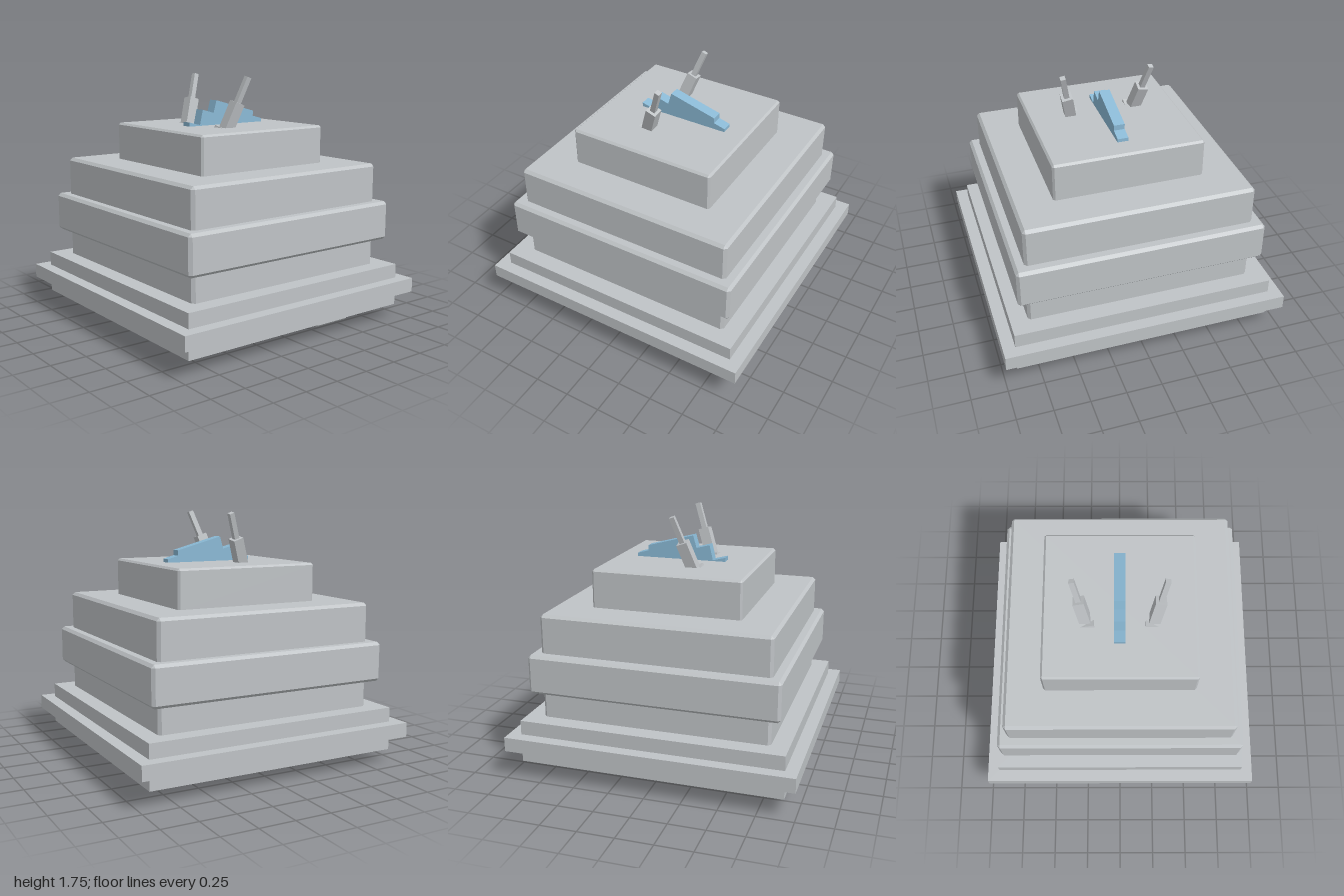
import * as THREE from 'three';
import { ConvexGeometry } from 'three/addons/geometries/ConvexGeometry.js';

const grey = new THREE.MeshStandardMaterial({ color: 0xbfc3c6 });
grey.name = 'stoneGrey';
const blue = new THREE.MeshStandardMaterial({ color: 0x8ab9d5 });
blue.name = 'paleBlue';

export function createModel() {
  const model = new THREE.Group();
  model.name = 'steppedTower';

  const add = (parent, name, geometry, material, x = 0, y = 0, z = 0) => {
    const mesh = new THREE.Mesh(geometry, material);
    mesh.name = name;
    mesh.position.set(x, y, z);
    parent.add(mesh);
    return mesh;
  };

  // Box with every edge cut off at 45 degrees
  const chamferedBox = (w, h, d, c) => {
    const points = [];
    for (const sx of [-1, 1]) for (const sy of [-1, 1]) for (const sz of [-1, 1])
      for (let face = 0; face < 3; face++) {
        const inset = (axis) => (axis === face ? 0 : c);
        points.push(new THREE.Vector3(
          sx * (w / 2 - inset(0)), sy * (h / 2 - inset(1)), sz * (d / 2 - inset(2))));
      }
    return new ConvexGeometry(points);
  };

  // Square tiers: name, half width, bottom, top, chamfer
  const tiers = [
    ['footPlate', 0.61, 0, 0.1, 0],
    ['lowerPlinth', 0.915, 0.1, 0.2, 0],
    ['middlePlinth', 1, 0.2, 0.3, 0],
    ['upperPlinth', 0.915, 0.3, 0.4, 0],
    ['mainBlock', 0.795, 0.38, 1.13, 0.02],
    ['wideBand', 0.865, 0.585, 0.86, 0.02],
    ['topBlock', 0.525, 1.11, 1.396, 0.014],
  ];
  for (const [name, half, y0, y1, c] of tiers) {
    const size = [half * 2, y1 - y0, half * 2];
    add(model, name, c ? chamferedBox(...size, c) : new THREE.BoxGeometry(...size),
      grey, 0, (y0 + y1) / 2, 0);
  }

  // Stepped pods under the plinth
  for (const [x, z] of [[-0.375, 0.675], [0.675, -0.375], [-0.525, -0.575]]) {
    const pod = new THREE.Group();
    pod.name = 'undersidePod';
    pod.position.set(x, 0, z);
    add(pod, 'podRim', chamferedBox(0.37, 0.05, 0.37, 0.012), grey, 0, 0.095, 0);
    add(pod, 'podFace', chamferedBox(0.3, 0.06, 0.3, 0.012), grey, 0, 0.07, 0);
    model.add(pod);
  }

  // Stepped fin on the roof, profile given as (z, y)
  const profile = [
    [0.28, 1.39], [0.28, 1.425], [0.19, 1.402], [0.165, 1.508], [0.07, 1.482], [0.045, 1.57],
    [-0.29, 1.48], [-0.29, 1.442], [-0.37, 1.42], [-0.37, 1.39],
  ];
  const finShape = new THREE.Shape(profile.map(([z, y]) => new THREE.Vector2(z, y)));
  const finGeometry = new THREE.ExtrudeGeometry(finShape, { depth: 0.076, bevelEnabled: false });
  finGeometry.translate(0, 0, -0.038).rotateY(-Math.PI / 2);
  add(model, 'roofFin', finGeometry, blue);

  // Pair of antennas leaning outwards and back
  for (const side of [-1, 1]) {
    const antenna = new THREE.Group();
    antenna.name = side > 0 ? 'leftAntenna' : 'rightAntenna';
    antenna.position.set(side * 0.237, 1.4, 0.1);
    antenna.rotation.set(-0.34, 0, -side * 0.2);
    add(antenna, 'antennaSocket', new THREE.BoxGeometry(0.12, 0.08, 0.12), grey, 0, -0.06, 0);
    add(antenna, 'antennaSleeve', new THREE.BoxGeometry(0.076, 0.24, 0.076), grey, 0, 0.06, 0);
    add(antenna, 'antennaRod', new THREE.BoxGeometry(0.036, 0.2, 0.036), grey, 0, 0.27, 0);
    model.add(antenna);
  }

  // Corner-on block at the front with two lenses
  const lampBlock = new THREE.Group();
  lampBlock.name = 'frontBlock';
  lampBlock.position.set(0, 1.33, 0.5);
  lampBlock.rotation.y = Math.PI / 4;
  add(lampBlock, 'blockBody', new THREE.BoxGeometry(0.13, 0.14, 0.13), grey);
  const lens = new THREE.CylinderGeometry(0.03, 0.03, 0.004, 20);
  add(lampBlock, 'sideLens', lens, blue, 0.005, 0.005, 0.065).rotation.x = Math.PI / 2;
  const topLens = add(lampBlock, 'topLens', lens, blue, 0, 0.07, 0.02);
  topLens.scale.set(1.15, 1, 1.5);
  return model;
}
